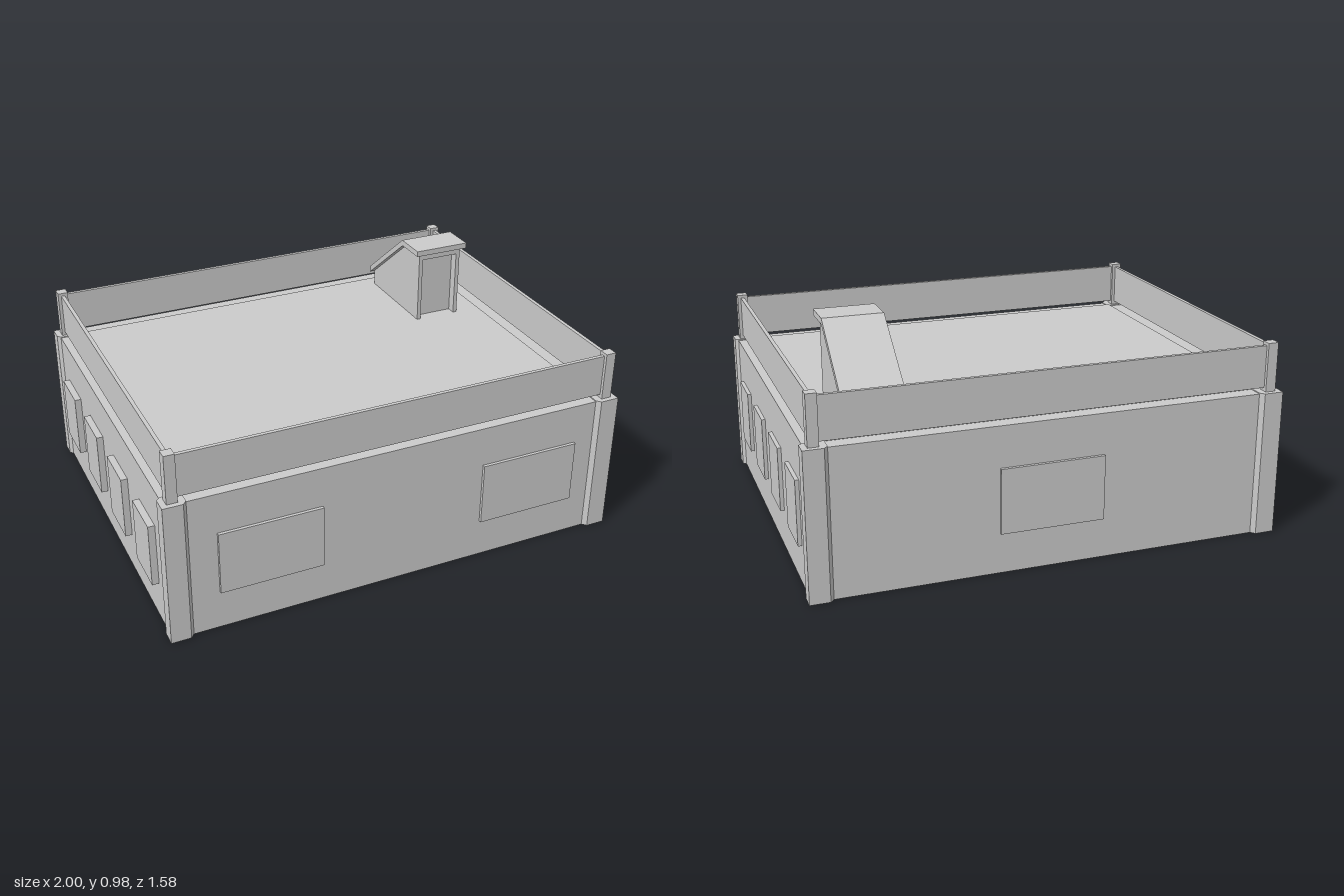
import * as THREE from 'three';

export function createModel() {
  const root = new THREE.Group();
  root.name = 'building';
  const mat = new THREE.MeshStandardMaterial({ color: 0xcccccc, flatShading: true });
  const CX = 0.004; // the main block sits a hair off centre

  function add(name, geometry, parent = root) {
    const mesh = new THREE.Mesh(geometry, mat);
    mesh.name = name;
    parent.add(mesh);
    return mesh;
  }
  // Box given by its min and max corners
  function box(name, x0, x1, y0, y1, z0, z1, parent) {
    const g = new THREE.BoxGeometry(x1 - x0, y1 - y0, z1 - z0);
    g.translate((x0 + x1) / 2, (y0 + y1) / 2, (z0 + z1) / 2);
    return add(name, g, parent);
  }
  const shapeOf = (pts) => new THREE.Shape(pts.map(([x, y]) => new THREE.Vector2(x, y)));

  // Main block and roof deck
  box('walls', CX - 0.976, CX + 0.976, 0, 0.615, -0.772, 0.772);
  box('roofDeck', CX - 0.896, CX + 0.896, 0.61, 0.625, -0.708, 0.705);

  // Corner pillars with chamfered inner edges, and the parapet posts above them
  const plan = [[0.99, 0.79], [0.908, 0.79], [0.892, 0.772], [0.892, 0.71], [0.972, 0.71], [0.99, 0.727]];
  for (const sx of [-1, 1]) {
    for (const sz of [-1, 1]) {
      const shape = shapeOf(plan.map(([x, z]) => [CX + sx * x, -sz * z]));
      const g = new THREE.ExtrudeGeometry(shape, { depth: 0.619, bevelEnabled: false });
      g.rotateX(-Math.PI / 2);
      add('cornerPillar', g);
      const px = CX + sx * 0.944, pz = sz * 0.747;
      box('parapetPost', px - 0.022, px + 0.022, 0.61, 0.825, pz - 0.022, pz + 0.022);
    }
  }

  // Thin parapet panels held between the posts, just clear of the roof
  for (const s of [-1, 1]) {
    const z = s * 0.747, x = CX + s * 0.944;
    box('parapetLong', CX - 0.93, CX + 0.93, 0.634, 0.812, z - 0.008, z + 0.008);
    box('parapetShort', x - 0.008, x + 0.008, 0.634, 0.812, -0.735, 0.735);
  }

  // Windows: two in front, one at the back, four on each side
  const Y0 = 0.17, Y1 = 0.442;
  for (const [x0, x1] of [[-0.775, -0.342], [0.37, 0.806]]) {
    box('frontWindow', x0, x1, Y0, Y1, 0.76, 0.785);
  }
  box('backWindow', -0.205, 0.23, Y0, Y1, -0.785, -0.76);
  for (const z of [0.53, 0.177, -0.176, -0.527]) {
    box('leftWindow', 0.97, 0.996, Y0, Y1, z - 0.099, z + 0.099);
    box('rightWindow', -1, -0.97, Y0, Y1, z - 0.099, z + 0.099);
  }

  // Rooftop stair house, profiles drawn as (z, y) and extruded along x
  const house = new THREE.Group();
  house.name = 'stairHouse';
  root.add(house);
  function profile(name, pts, x0, x1) {
    const g = new THREE.ExtrudeGeometry(shapeOf(pts.map(([z, y]) => [-z, y])), { depth: x1 - x0, bevelEnabled: false });
    g.rotateY(Math.PI / 2);
    g.translate(x0, 0, 0);
    return add(name, g, house);
  }
  const X0 = 0.578, X1 = 0.786;
  profile('stairCore', [[-0.24, 0.62], [-0.24, 0.955], [-0.325, 0.955], [-0.645, 0.7], [-0.645, 0.62]], X0, X1);
  box('doorJamb', X0, X0 + 0.018, 0.62, 0.955, -0.24, -0.2, house);
  box('doorJamb', X1 - 0.018, X1, 0.62, 0.955, -0.24, -0.2, house);
  box('doorLintel', X0 + 0.018, X1 - 0.018, 0.92, 0.955, -0.24, -0.2, house);
  // Overhanging roof: flat front, then a slope to the back
  profile('stairRoof', [[-0.18, 0.95], [-0.18, 0.975], [-0.33, 0.975], [-0.65, 0.719], [-0.65, 0.69], [-0.325, 0.95]], 0.556, 0.807);

  return root;
}
